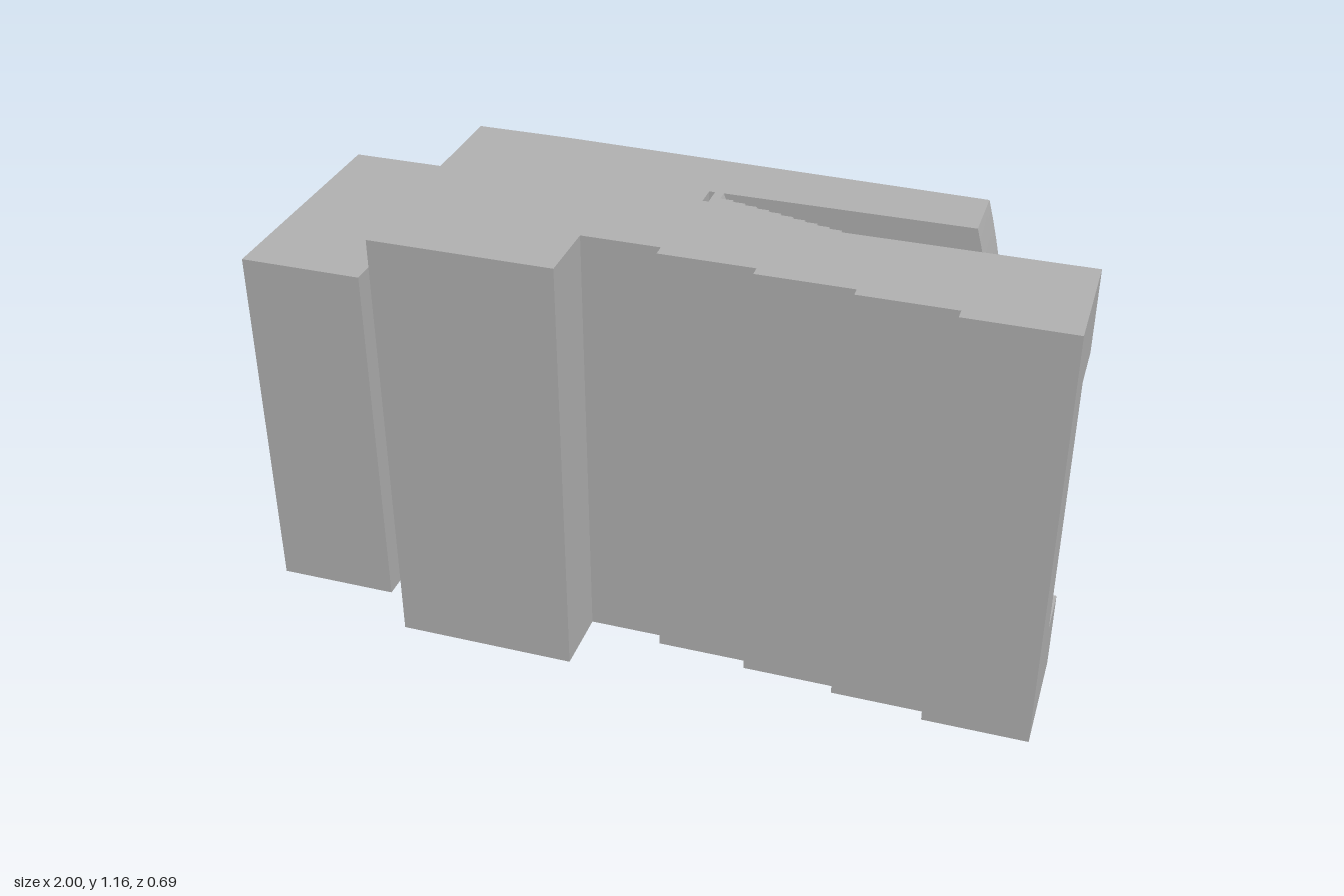
import * as THREE from 'three';
import { toCreasedNormals } from 'three/addons/utils/BufferGeometryUtils.js';

const H = 1.16, MID = H / 2;
const ARC_CENTRE = -1.37; // shared centre of all the concentric curved ends

export function createModel() {
  const model = new THREE.Group();
  const grey = new THREE.MeshStandardMaterial({ color: 0xb2b2b2 });
  grey.name = 'plain grey';

  const add = (name, geometry) => {
    const mesh = new THREE.Mesh(geometry, grey);
    mesh.name = name;
    model.add(mesh);
    return mesh;
  };
  const shapeOf = (pts) => new THREE.Shape(pts.map(([x, y]) => new THREE.Vector2(x, y)));
  const box = (name, x0, x1, y0, y1, z0, z1) =>
    add(name, new THREE.BoxGeometry(x1 - x0, y1 - y0, z1 - z0)
      .translate((x0 + x1) / 2, (y0 + y1) / 2, (z0 + z1) / 2));

  // Slab lying in the xy plane between two depths
  const slabGeometry = (shape, z0, z1) => new THREE.ExtrudeGeometry(shape, {
    depth: z1 - z0, bevelEnabled: false, curveSegments: 12,
  }).translate(0, 0, z0);
  const slab = (name, shape, z0, z1) => add(name, toCreasedNormals(slabGeometry(shape, z0, z1), 0.4));

  // Outline with a straight left side and a bulging right side
  const arcShape = (x0, xMid, y0 = 0, y1 = H, n = 24) => {
    const r = xMid - ARC_CENTRE;
    const pts = [[x0, y1], [x0, y0]];
    for (let i = 0; i <= n; i++) {
      const y = y0 + (y1 - y0) * i / n;
      pts.push([ARC_CENTRE + Math.sqrt(r * r - (y - MID) ** 2), y]);
    }
    return shapeOf(pts);
  };

  // Main body: plan profile (x, z) raised along y, with a stepped front
  const profile = [
    [-0.66, -0.31], [0.03, -0.31], [0.03, -0.1], [0.12, -0.1], [0.12, 0.1], [1, 0.1],
    [1, 0.28], [0.73, 0.28], [0.73, 0.25], [0.49, 0.25], [0.49, 0.225], [0.25, 0.225],
    [0.25, 0.197], [0.01, 0.197], [0.01, 0.165], [-0.19, 0.165], [-0.19, 0.34], [-0.66, 0.34],
  ];
  add('body', new THREE.ExtrudeGeometry(shapeOf(profile.map(([x, z]) => [x, -z])),
    { depth: H, bevelEnabled: false }).rotateX(-Math.PI / 2));

  // Curved terraces: full height in the slot, then narrower inside the open pocket
  const pocket0 = 0.22, pocket1 = 0.94, rise = 0.225 / 26, run = 0.82 / 27;
  const wallZ = -0.125 + 10 * rise;
  slab('slotRoot', arcShape(0.045, 0.18), -0.155, -0.125);
  for (let k = 1; k <= 26; k++) {
    const z = -0.125 + (k - 1) * rise;
    const x0 = z < -0.1 ? 0.045 : 0.1;
    const shape = k <= 10
      ? arcShape(x0, 0.18 + k * run)
      : arcShape(x0, 0.18 + k * run, pocket0, pocket1);
    slab('gripTerrace', shape, z, z + rise);
  }
  box('pocketWallLower', 0.1, 1, 0, pocket0, wallZ, 0.1);
  box('pocketWallUpper', 0.1, 1, pocket1, H, wallZ, 0.1);

  // Tongue with a curved end; its back skin slopes and carries four pinholes
  const kinkX = -0.41, skinZ = -0.27;
  slab('tongue', arcShape(0.02, 0.775), skinZ, -0.155);
  const skin = arcShape(kinkX, 0.775);
  for (const y of [0.28, 0.41, 0.755, 0.88]) {
    skin.holes.push(new THREE.Path().absarc(0.6, y, 0.015, 0, Math.PI * 2, true));
  }
  const skinGeometry = slabGeometry(skin, -0.35, skinZ);
  const p = skinGeometry.attributes.position;
  for (let i = 0; i < p.count; i++) {
    if (p.getZ(i) < -0.3) p.setZ(i, -0.35 + (p.getX(i) - kinkX) * 0.035 / (0.775 - kinkX));
  }
  skinGeometry.computeVertexNormals();
  add('tongueSkin', toCreasedNormals(skinGeometry, 0.4));

  // Back frame around the recess that receives the neck
  const frame = [[-0.66, 0], [kinkX, 0], [kinkX, H], [-0.66, H], [-0.66, 0.995]];
  for (let i = 0; i <= 16; i++) {
    const t = 1 - i / 8;
    frame.push([-0.42 - 0.04 * t * t, MID + 0.415 * t]);
  }
  frame.push([-0.66, 0.165]);
  slab('recessFrame', shapeOf(frame), -0.35, -0.31);

  // Neck and end cap
  box('neck', -0.7, -0.6, 0.19, 0.98, -0.311, 0.05);
  box('endCap', -1, -0.69, 0.11, 1.055, -0.27, 0.34);
  const capBack = shapeOf([[-1, 0.11], [-0.69, 0.11], [-0.69, 1.055], [-1, 1.055]]);
  for (let i = 0; i < 7; i++) {
    const y = 0.335 + i * 0.07;
    capBack.holes.push(new THREE.Path([[-0.846, y], [-0.846, y + 0.06], [-0.834, y + 0.06], [-0.834, y]]
      .map(([a, b]) => new THREE.Vector2(a, b))));
  }
  slab('endCapBack', capBack, -0.295, -0.27);

  return model;
}
